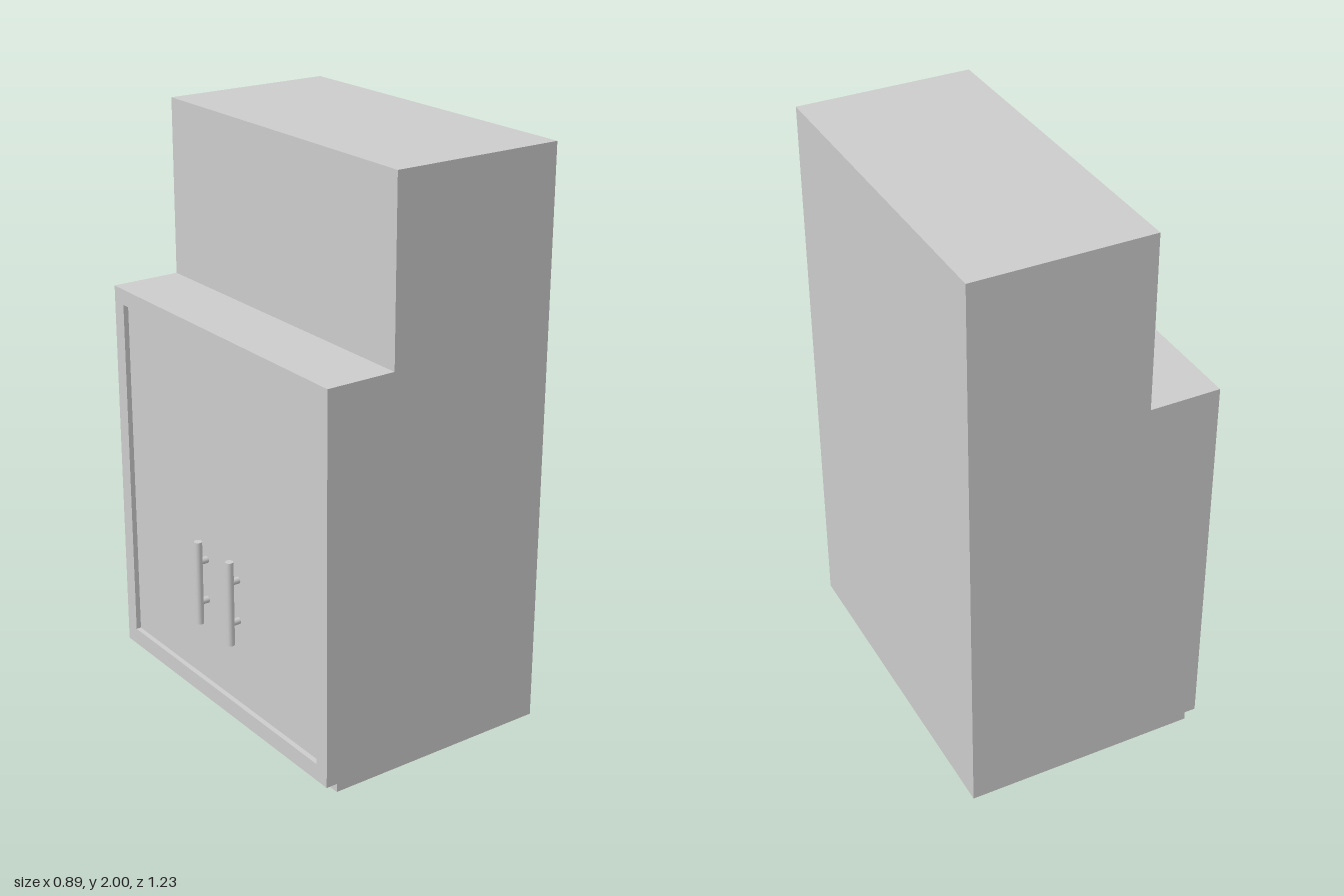
import * as THREE from 'three';

const material = new THREE.MeshStandardMaterial({ color: 0xcccccc });

function addMesh(parent, name, geometry) {
  const mesh = new THREE.Mesh(geometry, material);
  mesh.name = name;
  parent.add(mesh);
  return mesh;
}

const polygon = (pts) => pts.map(([a, b]) => new THREE.Vector2(a, b));

export function createModel() {
  const model = new THREE.Group();
  model.name = 'cabinet';
  const halfDepth = 0.615, doorX = -0.418, panelX = -0.4;
  const baseY = 0.03, ledgeY = 1.385;

  // Stepped body with a toe kick, extruded along z
  const profile = new THREE.Shape(polygon([
    [-0.378, 0], [0.446, 0], [0.446, 2], [-0.17, 2], [-0.17, ledgeY],
    [panelX, ledgeY], [panelX, baseY], [-0.378, baseY],
  ]));
  const body = new THREE.ExtrudeGeometry(profile, { depth: 2 * halfDepth, bevelEnabled: false });
  body.translate(0, 0, -halfDepth);
  addMesh(model, 'body', body);

  // Raised frame around the recessed door panel, drawn as (z, y) and turned to face -x
  const frame = new THREE.Shape(polygon([
    [-halfDepth, baseY], [halfDepth, baseY], [halfDepth, ledgeY], [-halfDepth, ledgeY],
  ]));
  frame.holes.push(new THREE.Path(polygon([
    [-0.56, 0.09], [-0.56, 1.33], [0.56, 1.33], [0.56, 0.09],
  ])));
  const frameGeometry = new THREE.ExtrudeGeometry(frame, { depth: panelX - doorX, bevelEnabled: false });
  frameGeometry.rotateY(-Math.PI / 2);
  frameGeometry.translate(panelX, 0, 0);
  addMesh(model, 'doorFrame', frameGeometry);

  // Pair of bar handles, each on two short posts
  const barX = -0.434, barRadius = 0.014;
  for (const z of [-0.095, 0.095]) {
    const handle = new THREE.Group();
    handle.name = z < 0 ? 'backHandle' : 'frontHandle';
    handle.position.set(barX, 0, z);
    const bar = addMesh(handle, 'handleBar', new THREE.CylinderGeometry(barRadius, barRadius, 0.305, 24));
    bar.position.y = 0.473;
    for (const y of [0.4, 0.55]) {
      const post = addMesh(handle, 'handlePost', new THREE.CylinderGeometry(0.012, 0.012, panelX - barX, 16));
      post.rotation.z = Math.PI / 2;
      post.position.set((panelX - barX) / 2, y, 0);
    }
    model.add(handle);
  }
  return model;
}
